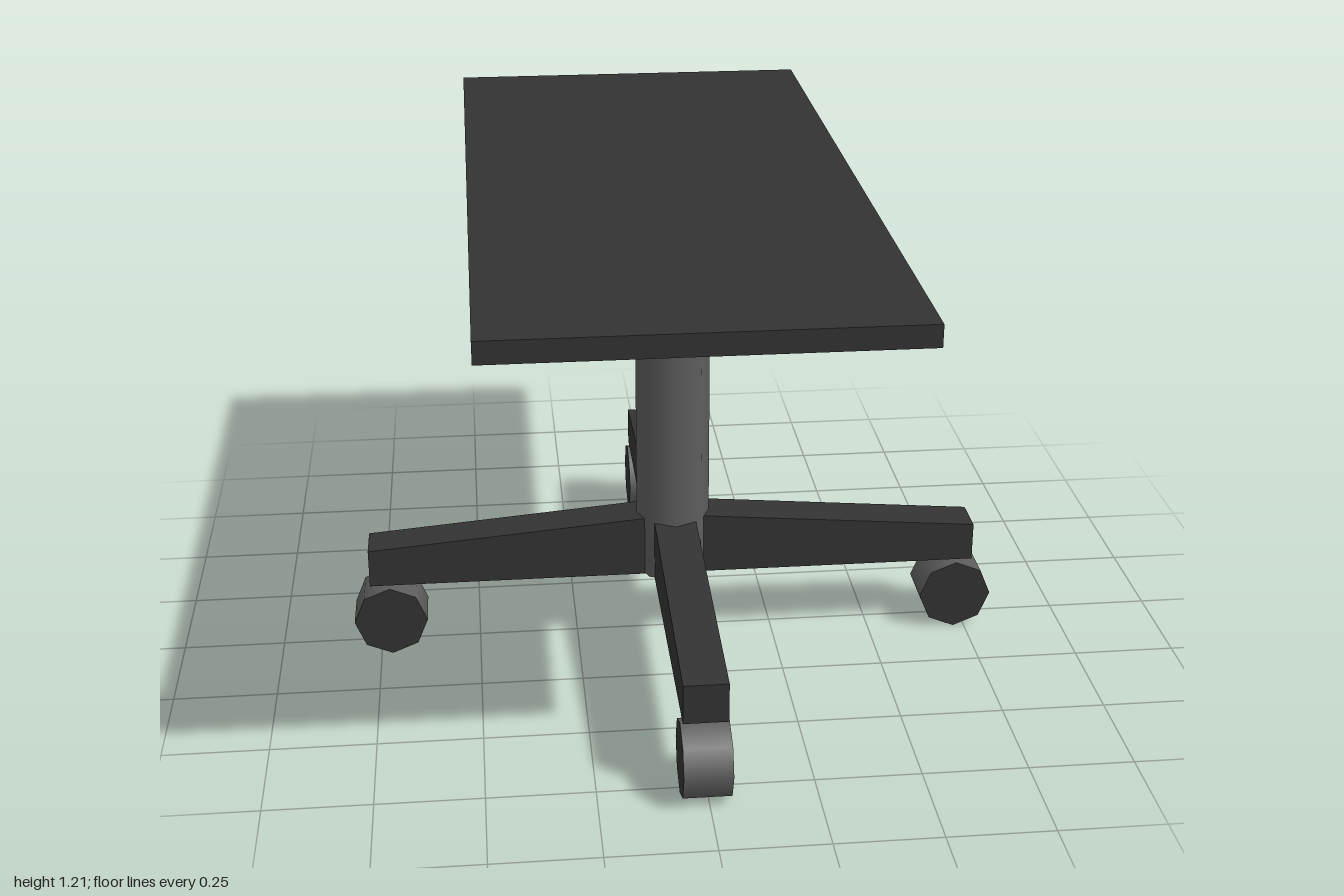
import * as THREE from 'three';

export function createModel() {
  const model = new THREE.Group();
  const dark = new THREE.MeshStandardMaterial({ color: 0x333333 });
  dark.name = 'charcoal';
  const grey = new THREE.MeshStandardMaterial({ color: 0x5e5e5e });
  grey.name = 'grey metal';

  function add(name, geometry, material, x, y, z) {
    const mesh = new THREE.Mesh(geometry, material);
    mesh.name = name;
    mesh.position.set(x, y, z);
    model.add(mesh);
    return mesh;
  }

  // Table top, set slightly off the column
  add('tableTop', new THREE.BoxGeometry(0.922, 0.05, 2), dark, -0.028, 1.185, 0);

  // Eight-sided, smooth-shaded column running down between the legs
  const bottom = 0.198, top = 1.16;
  add('column', new THREE.CylinderGeometry(0.0913, 0.0913, top - bottom, 8),
    [grey, dark, dark], -0.005, (top + bottom) / 2, 0.031);

  // Crossed base beams, tapering from the hub to the tips
  function beam(width) {
    const side = new THREE.Shape([
      [-0.766, 0.195], [0.766, 0.195], [0.766, 0.292],
      [0.08, 0.35], [-0.08, 0.35], [-0.766, 0.292],
    ].map(([x, y]) => new THREE.Vector2(x, y)));
    return new THREE.ExtrudeGeometry(side, { depth: width, bevelEnabled: false })
      .translate(0, 0, -width / 2);
  }
  add('sideBeam', beam(0.102), dark, -0.004, 0, 0.021);
  add('lengthBeam', beam(0.104).rotateY(Math.PI / 2), dark, -0.005, 0, 0.021);

  // Octagonal wheels under the four tips
  const wheel = (width) => new THREE.CylinderGeometry(0.0915, 0.0915, width, 8);
  for (const s of [-1, 1]) {
    const label = s > 0 ? ['leftWheel', 'frontWheel'] : ['rightWheel', 'backWheel'];
    add(label[0], wheel(0.121).rotateX(Math.PI / 2), [grey, dark, dark],
      s * 0.722, 0.096, 0.017);
    add(label[1], wheel(0.112).rotateZ(Math.PI / 2), [grey, dark, dark],
      -0.006, 0.096, 0.024 + s * 0.746);
  }
  return model;
}
